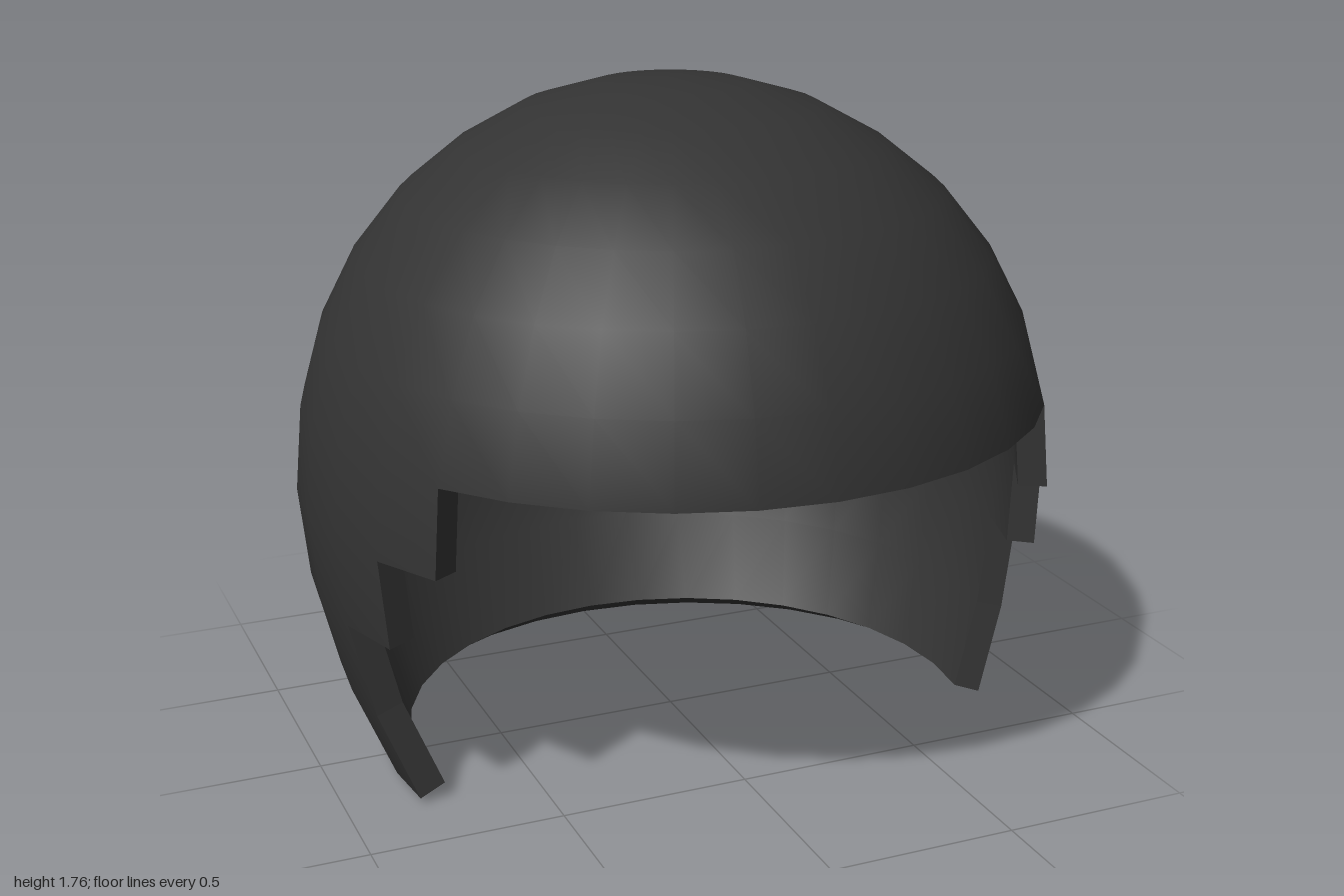
import * as THREE from 'three';

const COLS = 32;
const THICKNESS = 0.075;

// Rings from crown to neck: [radius, height, forward shift, forward tilt]
const RINGS = [
  [0, 1.765, 0, 0], [0.195, 1.745, 0, 0], [0.383, 1.69, 0, 0], [0.556, 1.595, 0.005, 0],
  [0.707, 1.475, 0.01, 0], [0.831, 1.32, 0.012, 0], [0.924, 1.14, 0.014, 0],
  [0.98, 0.94, 0.012, 0], [1, 0.714, 0.01, 0.003], [0.98, 0.484, 0.03, 0.008],
  [0.924, 0.24, 0.075, 0.01], [0.831, 0.013, 0.14, 0.013],
];
const ROWS = RINGS.length - 1;

// Columns cut away on each side of the face, for every row of panels
const CUT = [0, 0, 0, 0, 0, 0, 0, 5, 6, 7, 7];

function outerPoint(i, j) {
  const [r, y, shift, tilt] = RINGS[i];
  const a = (j / COLS) * Math.PI * 2;
  return new THREE.Vector3(r * Math.sin(a), y + tilt * Math.cos(a), r * Math.cos(a) + shift);
}

function normalAt(i, j) {
  if (i === 0) return new THREE.Vector3(0, 1, 0);
  const across = outerPoint(i, j + 1).sub(outerPoint(i, j - 1));
  const down = outerPoint(Math.min(i + 1, ROWS), j).sub(outerPoint(i - 1, j));
  return down.cross(across).normalize();
}

function innerPoint(i, j) {
  return outerPoint(i, j).addScaledVector(normalAt(i, j), -THICKNESS);
}

function isKept(i, j) {
  if (i < 0) return true;
  if (i >= ROWS) return false;
  const col = (j + COLS) % COLS;
  return col >= CUT[i] && col < COLS - CUT[i];
}

function makeGeometry(positions, normals) {
  const geometry = new THREE.BufferGeometry();
  geometry.setAttribute('position', new THREE.Float32BufferAttribute(positions, 3));
  if (normals) geometry.setAttribute('normal', new THREE.Float32BufferAttribute(normals, 3));
  else geometry.computeVertexNormals();
  return geometry;
}

// Corners of one panel, counter-clockwise from outside
const corners = (i, j) => [[i, j], [i + 1, j], [i + 1, j + 1], [i, j + 1]];

// Smooth curved skin; side is 1 for the outside and -1 for the inside
function skinGeometry(pointAt, side) {
  const positions = [], normals = [];
  for (let i = 0; i < ROWS; i++) {
    for (let j = 0; j < COLS; j++) {
      if (!isKept(i, j)) continue;
      const c = corners(i, j);
      const triangles = i === 0 ? [[0, 1, 2]] : [[0, 1, 2], [0, 2, 3]];
      for (const tri of triangles) {
        for (const k of side > 0 ? tri : [...tri].reverse()) {
          positions.push(...pointAt(...c[k]).toArray());
          normals.push(...normalAt(...c[k]).multiplyScalar(side).toArray());
        }
      }
    }
  }
  return makeGeometry(positions, normals);
}

// Flat faces joining both skins along the stepped face opening and the neck
function rimGeometry() {
  const positions = [];
  for (let i = 0; i < ROWS; i++) {
    for (let j = 0; j < COLS; j++) {
      if (!isKept(i, j)) continue;
      const c = corners(i, j);
      const neighbours = [[i, j - 1], [i + 1, j], [i, j + 1], [i - 1, j]];
      neighbours.forEach((n, k) => {
        if (isKept(...n)) return;
        const a = c[k], b = c[(k + 1) % 4];
        const quad = [outerPoint(...b), outerPoint(...a), innerPoint(...a), innerPoint(...b)];
        for (const q of [0, 1, 2, 0, 2, 3]) positions.push(...quad[q].toArray());
      });
    }
  }
  return makeGeometry(positions);
}

export function createModel() {
  const group = new THREE.Group();
  group.name = 'helmet';
  const material = new THREE.MeshStandardMaterial({ color: 0x333333 });
  material.name = 'charcoal';

  const parts = {
    outerShell: skinGeometry(outerPoint, 1),
    innerLining: skinGeometry(innerPoint, -1),
    rim: rimGeometry(),
  };
  for (const [name, geometry] of Object.entries(parts)) {
    const mesh = new THREE.Mesh(geometry, material);
    mesh.name = name;
    group.add(mesh);
  }
  return group;
}
